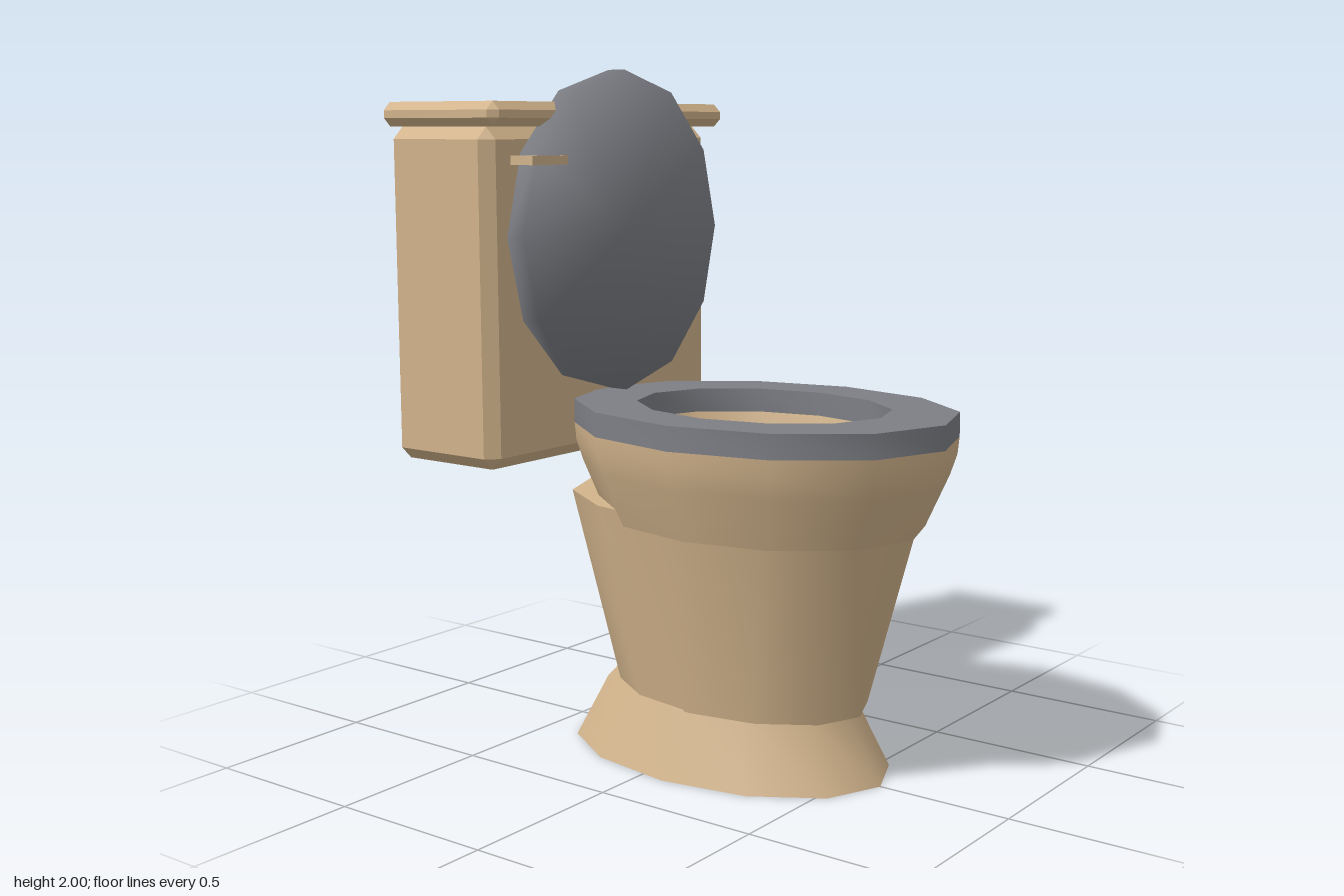
import * as THREE from 'three';
import { toCreasedNormals } from 'three/addons/utils/BufferGeometryUtils.js';
import { ConvexGeometry } from 'three/addons/geometries/ConvexGeometry.js';

const ceramic = new THREE.MeshStandardMaterial({ color: 0xd2b48c });
const grey = new THREE.MeshStandardMaterial({ color: 0x7d7f85 });

// Twelve-sided turned shape, stretched along z into an oval
function oval(profile, stretch, crease = 0.9) {
  const points = profile.map(([r, y]) => new THREE.Vector2(r, y));
  const geometry = new THREE.LatheGeometry(points, 12);
  geometry.scale(1, 1, stretch);
  return toCreasedNormals(geometry, crease);
}

// Box with every edge and corner cut off by a bevel
function bevelBox(w, h, d, bevel) {
  const points = [];
  for (const x of [-1, 1]) for (const y of [-1, 1]) for (const z of [-1, 1]) {
    for (let face = 0; face < 3; face++) {
      const inset = [bevel, bevel, bevel];
      inset[face] = 0;
      points.push(new THREE.Vector3(
        x * (w / 2 - inset[0]), y * (h / 2 - inset[1]), z * (d / 2 - inset[2])));
    }
  }
  return new ConvexGeometry(points);
}

export function createModel() {
  const model = new THREE.Group();
  model.name = 'toilet';

  function add(name, geometry, material, x, y, z, parent = model) {
    const mesh = new THREE.Mesh(geometry, material);
    mesh.name = name;
    mesh.position.set(x, y, z);
    parent.add(mesh);
    return mesh;
  }

  // Flared foot and the pedestal widening upwards
  add('foot', oval([[0, 0], [0.33, 0], [0.26, 0.195], [0, 0.195]], 1.59), ceramic, 0, 0, 0.075);
  add('pedestal', oval([[0, 0.19], [0.26, 0.19], [0.362, 0.765], [0, 0.765]], 1.575), ceramic, 0, 0, 0.12);

  // Hollow bowl with rounded outside and a shallow floor
  add('bowl', oval([
    [0, 0.72], [0.377, 0.72], [0.43, 0.87], [0.446, 0.93], [0.45, 0.98],
    [0.298, 0.98], [0.262, 0.83], [0, 0.80],
  ], 1.32), ceramic, 0, 0, 0.19);

  // Seat ring
  add('seat', oval([
    [0.298, 0.98], [0.45, 0.98], [0.45, 1.05], [0.298, 1.05], [0.298, 0.98],
  ], 1.32), grey, 0, 0, 0.19);

  // Raised seat cover, softly shaded across its rim
  const cover = oval([[0, -0.03], [0.45, -0.03], [0.45, 0.03], [0, 0.03]], 1.055, 2);
  cover.rotateX(Math.PI / 2);
  add('seatCover', cover, grey, 0, 1.526, -0.34);

  // Water tank and its lid
  add('tank', bevelBox(1.02, 0.97, 0.4, 0.035), ceramic, 0, 1.35, -0.585);
  add('tankLid', bevelBox(1.07, 0.07, 0.45, 0.024), ceramic, 0, 1.87, -0.56);

  // Flush handle: stem from the tank and a lever across the front
  const handle = new THREE.Group();
  handle.name = 'flushHandle';
  model.add(handle);
  add('handleStem', new THREE.BoxGeometry(0.025, 0.026, 0.08), ceramic, -0.4025, 1.742, -0.35, handle);
  add('handleLever', new THREE.BoxGeometry(0.15, 0.026, 0.015), ceramic, -0.34, 1.742, -0.31, handle);

  return model;
}
